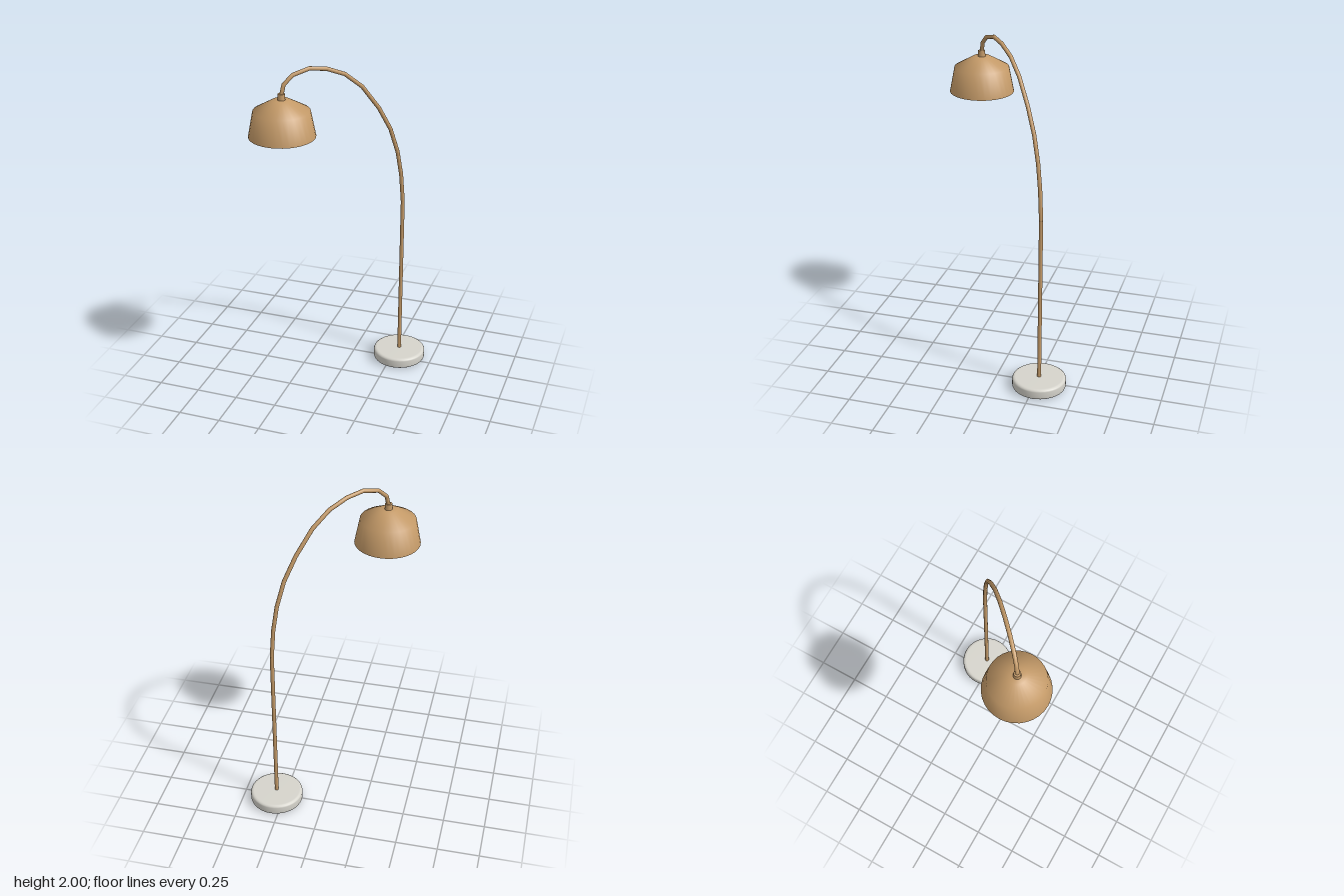
import * as THREE from 'three';

const wood = new THREE.MeshStandardMaterial({ color: 0xc49a68 });
const stone = new THREE.MeshStandardMaterial({ color: 0xd6d4cc });
const lining = new THREE.MeshStandardMaterial({ color: 0xe6e6e4 });
const glass = new THREE.MeshStandardMaterial({ color: 0xeee4b8 });

// Floor positions of the pole and of the hanging shade
const FOOT = new THREE.Vector3(0.294, 0, -0.275);
const HEAD = new THREE.Vector3(-0.265, 0, 0.242);

function add(parent, name, geometry, material, x = 0, y = 0, z = 0) {
  const mesh = new THREE.Mesh(geometry, material);
  mesh.name = name;
  mesh.position.set(x, y, z);
  parent.add(mesh);
  return mesh;
}

// Profile points are [radius, height], listed upwards for an outward surface
function lathe(profile, segments = 32) {
  return new THREE.LatheGeometry(profile.map(([r, y]) => new THREE.Vector2(r, y)), segments);
}

// Arm curve whose joints fall exactly on its control points
class ArmCurve extends THREE.CatmullRomCurve3 {
  getPointAt(t, target) { return this.getPoint(t, target); }
  getTangentAt(t, target) { return this.getTangent(t, target); }
}

export function createModel() {
  const lamp = new THREE.Group();
  lamp.name = 'arcFloorLamp';

  // Heavy round base with softened edges
  add(lamp, 'base', lathe([
    [0, 0], [0.14, 0], [0.15, 0.002], [0.157, 0.007], [0.16, 0.015],
    [0.16, 0.052], [0.157, 0.06], [0.15, 0.065], [0.14, 0.067], [0, 0.067],
  ], 40), stone, FOOT.x, 0, FOOT.z);

  // Straight pole
  add(lamp, 'pole', new THREE.CylinderGeometry(0.012, 0.012, 1.03, 12), wood, FOOT.x, 0.565, FOOT.z);

  // Jointed arm: [fraction of the way from foot to head, height]
  const joints = [
    [0, 1.08], [0.02, 1.257], [0.055, 1.405], [0.12, 1.556], [0.22, 1.695], [0.36, 1.838],
    [0.5, 1.925], [0.645, 1.97], [0.78, 1.985], [0.91, 1.96], [0.98, 1.912], [1, 1.85],
  ].map(([s, y]) => FOOT.clone().lerp(HEAD, s).setY(y));
  add(lamp, 'arm', new THREE.TubeGeometry(new ArmCurve(joints), joints.length - 1, 0.012, 12), wood);

  // Lamp head: shade, lining, collar, socket and bulb
  const head = new THREE.Group();
  head.name = 'lampHead';
  head.position.set(HEAD.x, 0, HEAD.z);
  lamp.add(head);

  add(head, 'shade', lathe([[0.19, 1.616], [0.161, 1.765], [0.05, 1.828], [0, 1.828]]), wood);
  add(head, 'shadeRim', lathe([[0.176, 1.616], [0.19, 1.616]]), wood);
  add(head, 'shadeLining', lathe([[0, 1.815], [0.046, 1.815], [0.149, 1.757], [0.176, 1.616]]), lining);
  add(head, 'collar', new THREE.CylinderGeometry(0.02, 0.022, 0.036, 16), wood, 0, 1.845, 0);
  add(head, 'bulbSocket', new THREE.CylinderGeometry(0.022, 0.022, 0.1, 16), wood, 0, 1.768, 0);
  add(head, 'bulb', new THREE.SphereGeometry(0.05, 24, 16), glass, 0, 1.685, 0);

  return lamp;
}
